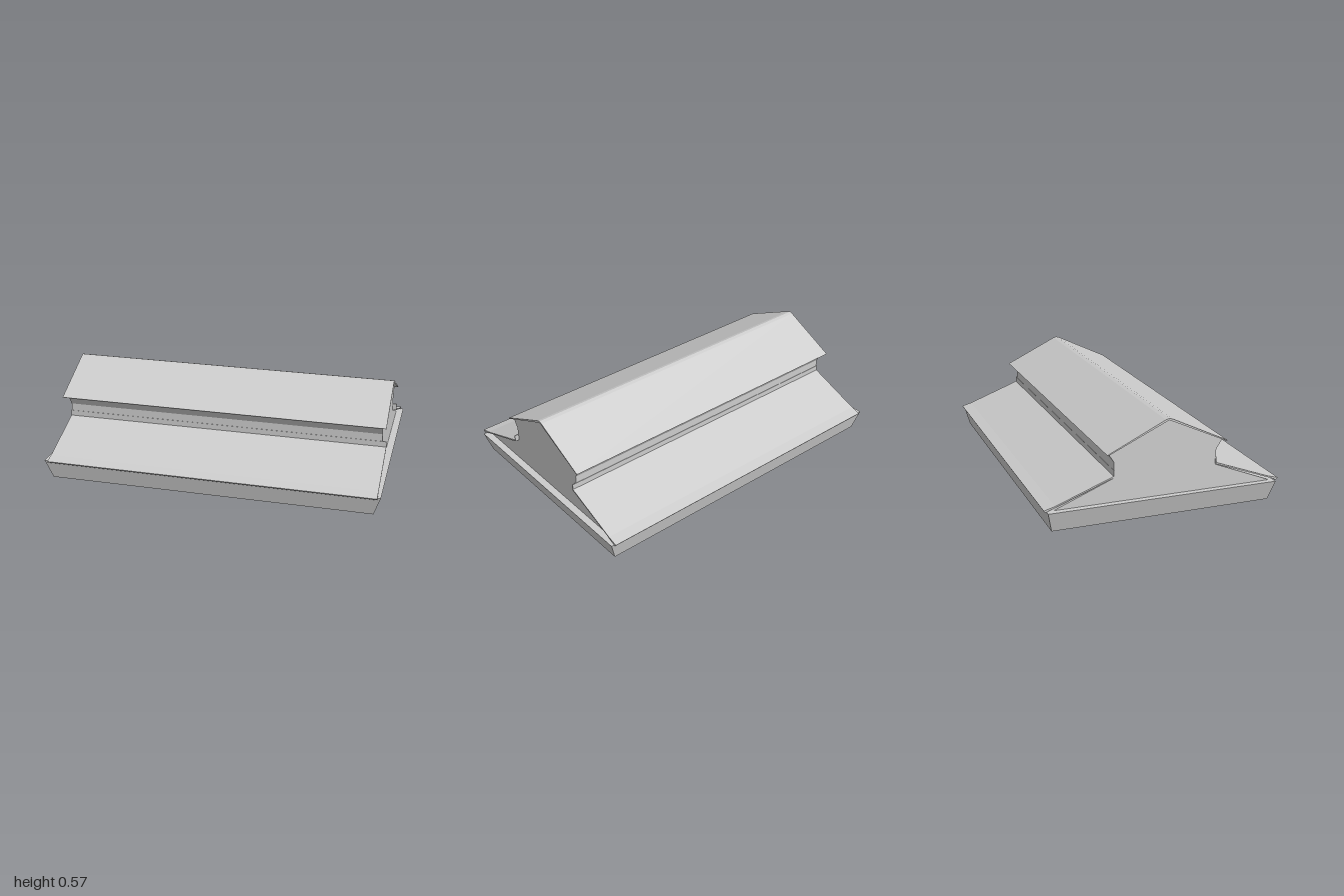
import * as THREE from 'three';

const material = new THREE.MeshStandardMaterial({ color: 0xcccccc, side: THREE.DoubleSide });

// Extrudes a [z, y] outline along x between x0 and x1.
function extrudeAlongX(name, outline, x0, x1) {
  const shape = new THREE.Shape(outline.map(([z, y]) => new THREE.Vector2(-z, y)));
  const geometry = new THREE.ExtrudeGeometry(shape, { depth: x1 - x0, bevelEnabled: false });
  geometry.rotateY(Math.PI / 2).translate(x0, 0, 0);
  const mesh = new THREE.Mesh(geometry, material);
  mesh.name = name;
  return mesh;
}

// Completes the front half of an outline, listed from bottom to top, with its mirror image.
function mirrored(half) {
  return [...half, ...half.filter(([z]) => z > 0).reverse().map(([z, y]) => [-z, y])];
}

// Base block whose four sides flare outwards towards the top.
function createBase() {
  const geometry = new THREE.BoxGeometry(2, 0.118, 1.34);
  const p = geometry.attributes.position;
  for (let i = 0; i < p.count; i++) {
    if (p.getY(i) < 0) p.setXYZ(i, Math.sign(p.getX(i)) * 0.962, p.getY(i), Math.sign(p.getZ(i)) * 0.642);
  }
  geometry.translate(0, 0.059, -0.007);
  const flat = geometry.toNonIndexed();
  flat.computeVertexNormals();
  const mesh = new THREE.Mesh(flat, material);
  mesh.name = 'flaredBase';
  return mesh;
}

export function createModel() {
  const model = new THREE.Group();
  model.name = 'tieredRoof';
  model.add(createBase());

  // Solid core: sloping skirt, upright wall, flared cornice and gable peak
  model.add(extrudeAlongX('gableBody', mirrored([
    [0.645, 0.115], [0.3, 0.255], [0.3, 0.345], [0.335, 0.4], [0, 0.552],
  ]), -0.965, 0.957));

  // Thin lower roof sheets, with an upstand against the wall and a flatter lip at the eave
  const sheet = [
    [0.302, 0.3], [0.302, 0.267], [0.63, 0.143], [0.692, 0.126],
    [0.69, 0.121], [0.676, 0.112], [0.672, 0.119], [0.63, 0.135], [0.296, 0.26], [0.296, 0.3],
  ];
  for (const [side, label] of [[1, 'front'], [-1, 'back']]) {
    const outline = sheet.map(([z, y]) => [z * side, y]);
    model.add(extrudeAlongX(label + 'LowerRoof', outline, -0.97, 0.982));
  }

  // Thin upper roof folded over a narrow ridge
  model.add(extrudeAlongX('upperRoof', [
    [0.35, 0.401], [0.02, 0.56], [0, 0.566], [-0.02, 0.56], [-0.35, 0.401],
    [-0.345, 0.397], [0, 0.556], [0.345, 0.397],
  ], -1, 0.98));

  return model;
}
